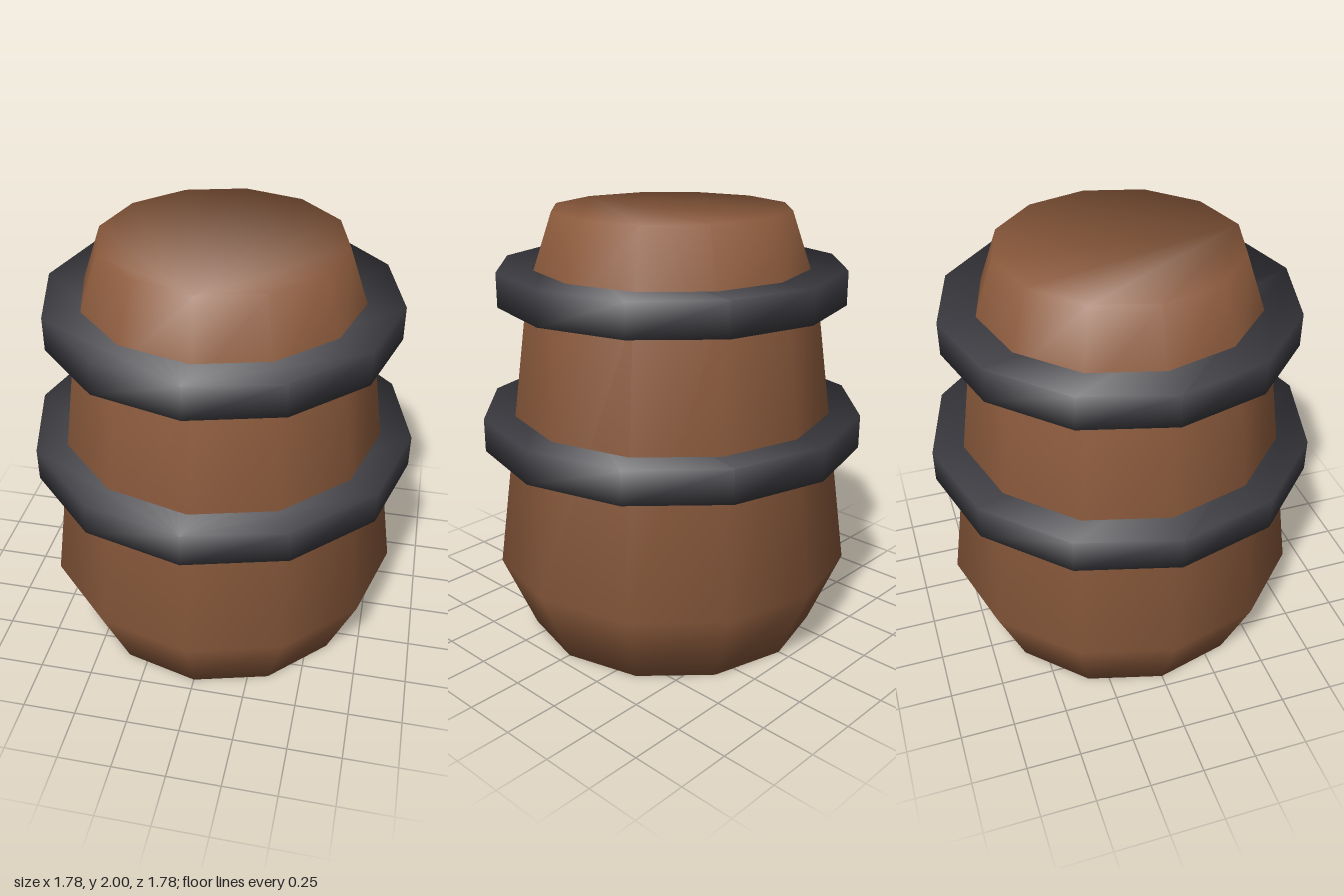
import * as THREE from 'three';

const SIDES = 12;
const CAP_WEIGHT = 0.65; // share of a flat end in the rim's smooth normal

// Closed twelve-sided drum from [radius, y] rings, smooth-shaded over its rims
function drum(profile) {
  const positions = [], normals = [], index = [];
  const last = profile.length - 1;
  const half = Math.cos(Math.PI / SIDES);

  // Outward slope of each band as [radial, up]
  const bands = profile.slice(1).map(([r, y], i) => {
    const up = (profile[i][0] - r) * half, out = y - profile[i][1];
    const len = Math.hypot(up, out);
    return [half * out / len, up / len];
  });

  profile.forEach(([r, y], i) => {
    const below = i > 0 ? bands[i - 1] : [0, -CAP_WEIGHT];
    const above = i < last ? bands[i] : [0, CAP_WEIGHT];
    const n = new THREE.Vector2(below[0] + above[0], below[1] + above[1]).normalize();
    for (let k = 0; k < SIDES; k++) {
      const t = (k / SIDES) * Math.PI * 2;
      positions.push(r * Math.sin(t), y, r * Math.cos(t));
      normals.push(n.x * Math.sin(t), n.y, n.x * Math.cos(t));
    }
  });

  // Side walls
  for (let i = 0; i < last; i++) {
    for (let k = 0; k < SIDES; k++) {
      const a = i * SIDES + k, b = i * SIDES + (k + 1) % SIDES;
      index.push(a, b, b + SIDES, a, b + SIDES, a + SIDES);
    }
  }
  // Flat ends
  const top = last * SIDES;
  for (let k = 1; k < SIDES - 1; k++) {
    index.push(0, k + 1, k, top, top + k, top + k + 1);
  }

  const geometry = new THREE.BufferGeometry();
  geometry.setAttribute('position', new THREE.Float32BufferAttribute(positions, 3));
  geometry.setAttribute('normal', new THREE.Float32BufferAttribute(normals, 3));
  geometry.setIndex(index);
  return geometry;
}

export function createModel() {
  const wood = new THREE.MeshStandardMaterial({ color: 0x8b5a3c });
  wood.name = 'brown wood';
  const iron = new THREE.MeshStandardMaterial({ color: 0x3c3c42 });
  iron.name = 'dark iron';

  const model = new THREE.Group();
  model.name = 'barrel';
  const add = (name, profile, material) => {
    const mesh = new THREE.Mesh(drum(profile), material);
    mesh.name = name;
    model.add(mesh);
  };

  // Tapered body
  add('body', [[0.692, 0], [0.845, 0.36], [0.669, 1.645], [0.546, 2]], wood);

  // Hoops
  add('middleHoop', [[0.89, 0.925], [0.89, 1.08]], iron);
  add('upperHoop', [[0.8, 1.592], [0.8, 1.747]], iron);

  return model;
}
